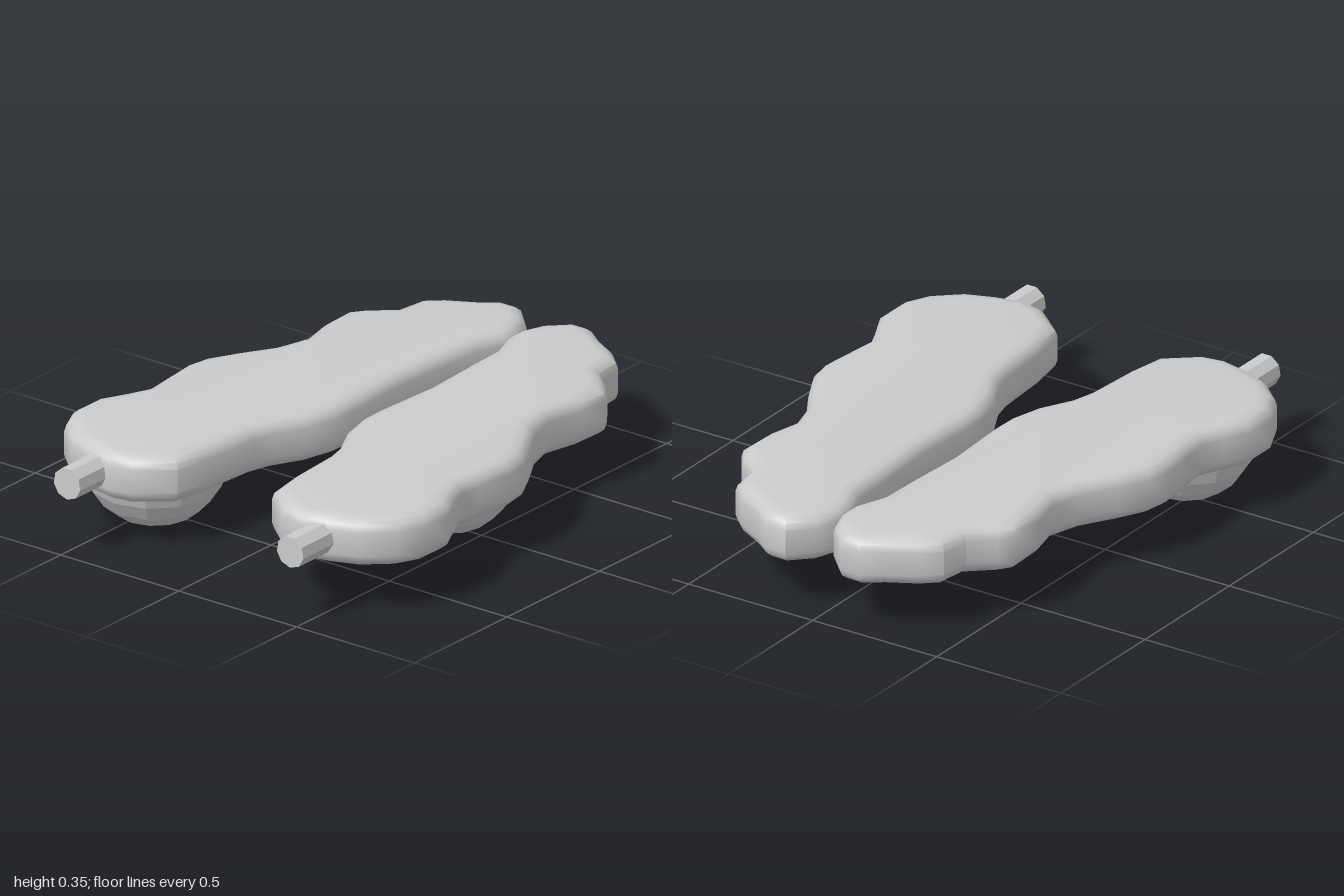
import * as THREE from 'three';
import { toCreasedNormals } from 'three/addons/utils/BufferGeometryUtils.js';

// Outline of the left (+x) pad as x, z pairs
const OUTLINE = [
  [0.11, -1], [0.19, -1], [0.26, -0.95], [0.36, -0.895], [0.42, -0.84], [0.435, -0.73],
  [0.515, -0.66], [0.555, -0.605], [0.55, -0.47], [0.52, -0.34], [0.555, -0.22],
  [0.625, -0.105], [0.68, 0], [0.695, 0.09], [0.68, 0.235], [0.67, 0.325],
  [0.705, 0.405], [0.75, 0.495], [0.75, 0.625], [0.705, 0.72], [0.61, 0.805],
  [0.505, 0.845], [0.41, 0.865], [0.32, 0.85], [0.2, 0.75], [0.175, 0.605],
  [0.16, 0.395], [0.14, 0.315], [0.08, 0.2], [0.05, 0.08], [0.048, 0],
  [0.063, -0.26], [0.048, -0.5], [0.042, -0.66], [0, -0.77], [0, -0.835], [0.03, -0.92],
];
const TOP = 0.35, BOTTOM = 0.175;

const smooth = new THREE.MeshStandardMaterial({ color: 0xcccccc });
const faceted = new THREE.MeshStandardMaterial({ color: 0xcccccc, flatShading: true });

function addMesh(parent, name, geometry, material) {
  const mesh = new THREE.Mesh(geometry, material);
  mesh.name = name;
  parent.add(mesh);
  return mesh;
}

// Slab with rounded rims, inset so the outline is its widest section
function padGeometry(side) {
  const shape = new THREE.Shape(OUTLINE.map(([x, z]) => new THREE.Vector2(x * side, z)));
  const bevel = 0.045;
  const geometry = new THREE.ExtrudeGeometry(shape, {
    depth: TOP - BOTTOM - 2 * bevel,
    bevelThickness: bevel, bevelSize: 0.055, bevelOffset: -0.055, bevelSegments: 3,
  });
  geometry.rotateX(Math.PI / 2);
  geometry.translate(0, TOP - bevel, 0);
  return toCreasedNormals(geometry, 0.75);
}

// Bowl-shaped foot with a shallow tip underneath
function domeGeometry() {
  const profile = [
    [0, 0.003], [0.05, 0.005], [0.13, 0.02], [0.185, 0.065],
    [0.222, 0.12], [0.243, 0.178], [0.243, 0.2], [0, 0.2],
  ].map(([r, y]) => new THREE.Vector2(r, y));
  return new THREE.LatheGeometry(profile, 12);
}

export function createModel() {
  const model = new THREE.Group();
  model.name = 'pairedPads';

  for (const [side, label, domeX, domeZ] of [[1, 'left', 0.35, -0.01], [-1, 'right', -0.46, 0.54]]) {
    const half = new THREE.Group();
    half.name = label + 'Half';
    model.add(half);

    addMesh(half, label + 'Pad', padGeometry(side), smooth);

    addMesh(half, label + 'DomeFoot', domeGeometry(), faceted).position.set(domeX, 0, domeZ);

    // Short peg sticking out of the front end
    const peg = new THREE.CylinderGeometry(0.057, 0.057, 0.25, 9).rotateX(Math.PI / 2);
    addMesh(half, label + 'Peg', peg, faceted).position.set(0.473 * side, 0.267, 0.875);
  }
  return model;
}
